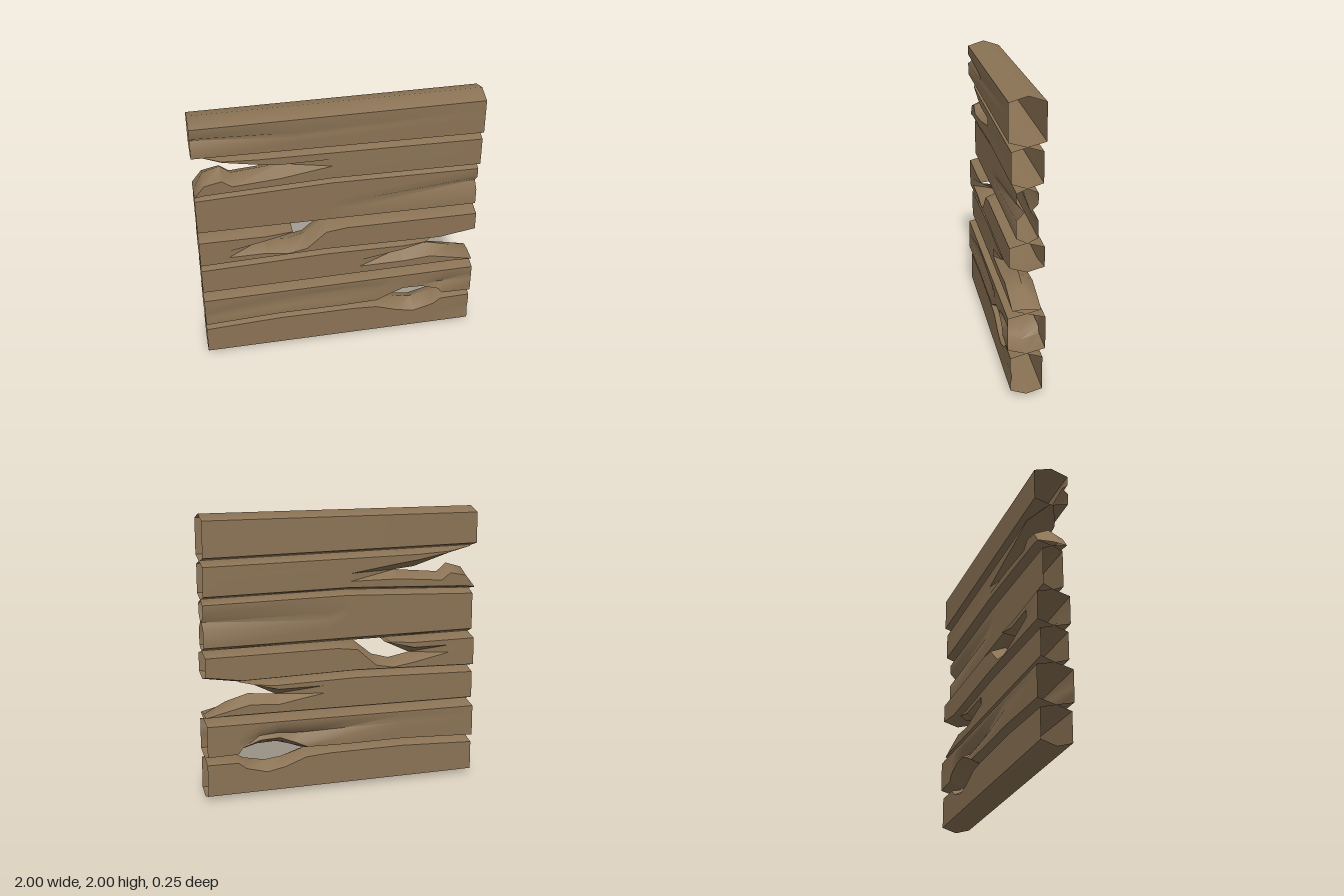
import * as THREE from 'three';
import { toCreasedNormals } from 'three/addons/utils/BufferGeometryUtils.js';

// Seam lines where neighbouring planks touch: [x, y] points, bottom to top
const SEAMS = [
  [[-1, 0], [1, 0]],
  [[-1, 0.27], [-0.45, 0.295], [1, 0.29]],
  [[-1, 0.555], [1, 0.572]],
  [[-1, 0.81], [-0.1, 0.835], [0.74, 0.82], [1, 0.82]],
  [[-1, 1.07], [1, 1.055]],
  [[-1, 1.395], [-0.05, 1.43], [1, 1.415]],
  [[-1, 1.71], [1, 1.68]],
  [[-1, 2], [1, 2]],
];

function seamY(index, x) {
  const s = SEAMS[index];
  for (let i = 1; i < s.length; i++) {
    if (x <= s[i][0]) {
      const t = (x - s[i - 1][0]) / (s[i][0] - s[i - 1][0]);
      return s[i - 1][1] + t * (s[i][1] - s[i - 1][1]);
    }
  }
  return s[s.length - 1][1];
}

// Cross-section: pointed bottom and top, upright sides with an optional dent.
// b, t: bottom and top; cb, ct: bevel heights; m: dent height;
// f, k: dent depth on front and back; w: half height of the dent
function section(row, depth, st) {
  const { x, b = seamY(row, x), t = seamY(row + 1, x), f = 0, k = 0, w = 0.055 } = st;
  let { cb = 0.032, ct = 0.03 } = st;
  const fit = Math.min(1, (t - b) / (cb + ct));
  cb *= fit;
  ct *= fit;
  const lo = b + cb, hi = t - ct;
  const clamp = (y) => Math.min(hi, Math.max(lo, y));
  const m = clamp(st.m ?? (lo + hi) / 2);
  const d = depth * Math.min(1, (t - b) / 0.03);
  const side = [[lo, 0], [clamp(m - w), 0], [m, 1], [clamp(m + w), 0], [hi, 0]];
  return [
    [x, b, 0],
    ...side.map(([y, q]) => [x, y, Math.max(0, d - q * f)]),
    [x, t, 0],
    ...side.reverse().map(([y, q]) => [x, y, -Math.max(0, d - q * k)]),
  ];
}

// Open-ended shell through the cross-sections
function loft(row, depth, stations) {
  const rings = stations.map((st) => section(row, depth, st));
  const n = rings[0].length, index = [];
  for (let i = 0; i < rings.length - 1; i++) {
    for (let j = 0; j < n; j++) {
      const a = i * n + j, d = i * n + (j + 1) % n;
      index.push(a, a + n, d + n, a, d + n, d);
    }
  }
  const g = new THREE.BufferGeometry();
  g.setAttribute('position', new THREE.Float32BufferAttribute(rings.flat(2), 3));
  g.setIndex(index);
  return toCreasedNormals(g, 0.95);
}

export function createModel() {
  const group = new THREE.Group();
  group.name = 'plankWall';
  const wood = new THREE.MeshStandardMaterial({ color: 0x8b7355, side: THREE.DoubleSide });
  wood.name = 'weatheredWood';

  const add = (name, row, depth, stations) => {
    const mesh = new THREE.Mesh(loft(row, depth, stations), wood);
    mesh.name = name;
    group.add(mesh);
  };

  // Bottom plank, worn away along its top edge
  add('plank1', 0, 0.105, [
    { x: -1 }, { x: -0.45 }, { x: 0.1 },
    { x: 0.28, ct: 0.04 },
    { x: 0.44, t: 0.245, ct: 0.05 },
    { x: 0.57, t: 0.23, ct: 0.06 },
    { x: 0.72, t: 0.26, ct: 0.05 },
    { x: 0.78, ct: 0.035 },
    { x: 1, m: 0.13, f: 0.01 },
  ]);

  // Second plank, worn along its bottom edge and dented on both sides
  add('plank2', 1, 0.123, [
    { x: -1 }, { x: -0.45, m: 0.45, f: 0.02 },
    { x: 0, m: 0.44, f: 0.025, k: 0.03 },
    { x: 0.28, cb: 0.04, m: 0.43, f: 0.01, k: 0.05 },
    { x: 0.38, b: 0.33, cb: 0.05, m: 0.43, k: 0.06 },
    { x: 0.48, b: 0.36, cb: 0.06, m: 0.44, k: 0.06 },
    { x: 0.62, b: 0.355, cb: 0.06, m: 0.44, k: 0.03 },
    { x: 0.75, b: 0.32, cb: 0.05, m: 0.42, f: 0.03 },
    { x: 0.78, cb: 0.035, m: 0.42, f: 0.03 },
    { x: 1 },
  ]);

  // Third plank, split open at its left end
  add('plank3', 2, 0.095, [
    { x: -1 }, { x: -0.1 }, { x: 0.15, m: 0.71 },
    { x: 0.48, m: 0.71, f: 0.095, k: 0.095 },
  ]);
  add('plank3UpperSplinter', 2, 0.095, [
    { x: 0.48, b: 0.71, cb: 0.055 },
    { x: 0.64, b: 0.79, cb: 0.02, ct: 0.015 },
    { x: 0.74, b: 0.815, cb: 0.01, ct: 0.01 },
  ]);
  add('plank3LowerSplinter', 2, 0.095, [
    { x: 0.48, t: 0.71, ct: 0.055 },
    { x: 0.68, t: 0.73, ct: 0.06 },
    { x: 0.84, t: 0.685, ct: 0.05 },
    { x: 1, t: 0.605, ct: 0.01 },
  ]);

  // Fourth plank, with a hole under its top edge
  add('plank4', 3, 0.113, [
    { x: -1 }, { x: -0.8, m: 0.945 },
    { x: -0.53, m: 0.945, f: 0.113, k: 0.113 },
  ]);
  add('plank4Splinter', 3, 0.113, [
    { x: -0.53, b: 0.945, cb: 0.055 },
    { x: -0.34, b: 1.035, cb: 0.012, ct: 0.012 },
  ]);
  add('plank4Body', 3, 0.113, [
    { x: -0.53, t: 0.945, ct: 0.055 },
    { x: -0.37, t: 0.915, ct: 0.05 },
    { x: -0.24, t: 0.95, ct: 0.06 },
    { x: -0.1, ct: 0.05 },
    { x: 0.05 }, { x: 0.74 },
    { x: 1, b: 0.86 },
  ]);

  // Fifth plank, thinner, with grooves fading in toward its left end
  add('plank5', 4, 0.07, [
    { x: -1 }, { x: -0.05 }, { x: 0.1, m: 1.23 },
    { x: 1, m: 1.26, f: 0.05, k: 0.05 },
  ]);

  // Sixth plank, split open at its right end
  add('plank6UpperSplinter', 5, 0.103, [
    { x: -1, b: 1.705, cb: 0.01, ct: 0.01 },
    { x: -0.8, b: 1.66, cb: 0.02, ct: 0.02 },
    { x: -0.56, b: 1.575, cb: 0.06 },
    { x: -0.41, b: 1.56, cb: 0.055 },
  ]);
  add('plank6LowerSplinter', 5, 0.103, [
    { x: -1, t: 1.425, ct: 0.01 },
    { x: -0.93, t: 1.555, ct: 0.05 },
    { x: -0.81, t: 1.59, ct: 0.06 },
    { x: -0.74, t: 1.53, ct: 0.05 },
    { x: -0.41, t: 1.56, ct: 0.055 },
  ]);
  add('plank6', 5, 0.103, [
    { x: -0.41, m: 1.56, f: 0.103, k: 0.103 },
    { x: -0.05, m: 1.56 }, { x: 1 },
  ]);

  // Top plank, dented on the front at its right end
  add('plank7', 6, 0.12, [
    { x: -1, m: 1.86, f: 0.04, w: 0.035, ct: 0.038 },
    { x: -0.3, m: 1.83, w: 0.035, ct: 0.038 },
    { x: 1, ct: 0.038 },
  ]);

  return group;
}
